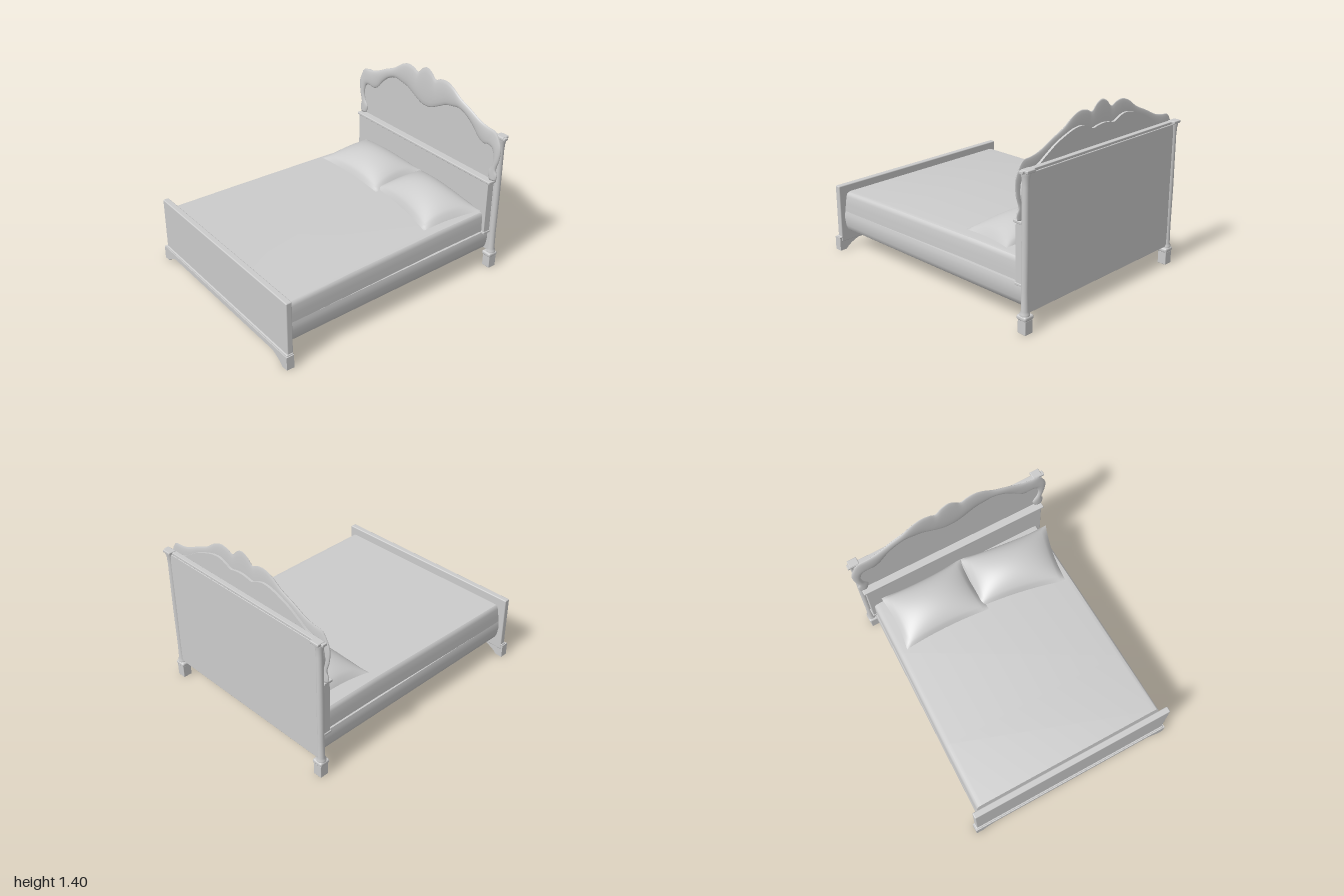
import * as THREE from 'three';
import { mergeGeometries, toCreasedNormals } from 'three/addons/utils/BufferGeometryUtils.js';
import { RoundedBoxGeometry } from 'three/addons/geometries/RoundedBoxGeometry.js';

const mat = new THREE.MeshStandardMaterial({ color: 0xcccccc, roughness: 0.8, side: THREE.DoubleSide });

// Skin between closed rings of [x, y, z] points, with capped ends
function loft(rings, crease) {
  const n = rings[0].length, pos = rings.flat(2), idx = [];
  for (let i = 0; i < rings.length - 1; i++)
    for (let j = 0; j < n; j++) {
      const a = i * n + j, b = i * n + (j + 1) % n;
      idx.push(a, b, a + n, b, b + n, a + n);
    }
  [0, rings.length - 1].forEach((r, end) => {
    const c = pos.length / 3;
    for (let k = 0; k < 3; k++) pos.push(rings[r].reduce((s, p) => s + p[k], 0) / n);
    for (let j = 0; j < n; j++) {
      const a = r * n + j, b = r * n + (j + 1) % n;
      idx.push(c, ...(end ? [a, b] : [b, a]));
    }
  });
  const g = new THREE.BufferGeometry();
  g.setAttribute('position', new THREE.Float32BufferAttribute(pos, 3));
  g.setIndex(idx);
  g.computeVertexNormals();
  return crease ? toCreasedNormals(g, crease) : g;
}

// Soft pillow over four corners [x, z]: back left, back right, front right, front left
function pillowGeometry([bl, br, fr, fl], height) {
  const sheet = (side) => {
    const g = new THREE.PlaneGeometry(2, 2, 28, 28), p = g.attributes.position;
    for (let i = 0; i < p.count; i++) {
      const u0 = p.getX(i) * side, v0 = p.getY(i);
      const u = u0 * (1 - 0.06 * (1 - v0 * v0)), v = v0 * (1 - 0.09 * (1 - u0 * u0));
      const mix = (k) => ((1 - u) * (1 + v) * bl[k] + (1 + u) * (1 + v) * br[k]
        + (1 + u) * (1 - v) * fr[k] + (1 - u) * (1 - v) * fl[k]) / 4;
      const puff = Math.pow(Math.max(0, (1 - u0 * u0) * (1 - v0 * v0)), 0.6);
      p.setXYZ(i, mix(0), 0.53 + 0.02 * v0 + puff * (side > 0 ? height : -0.04), mix(1));
    }
    g.computeVertexNormals();
    return g;
  };
  return mergeGeometries([sheet(1), sheet(-1)]);
}

export function createModel() {
  const model = new THREE.Group();
  const add = (name, geometry, x = 0, y = 0, z = 0) => {
    const m = new THREE.Mesh(geometry, mat);
    m.name = name;
    m.position.set(x, y, z);
    model.add(m);
    return m;
  };
  // Box given by half width, y range and z range
  const slab = (name, hx, y0, y1, z0, z1, r = 0.004) =>
    add(name, new RoundedBoxGeometry(2 * hx, y1 - y0, z1 - z0, 3, r), 0, (y0 + y1) / 2, (z0 + z1) / 2);

  // Bed base and mattress, both narrowing towards the head
  const section = (half, z, k, dy = 0) => {
    const right = half.map(([x, y]) => [x * k, y + dy, z]);
    return [...right, ...right.map(([x, y]) => [-x, y, z]).reverse()];
  };
  const base = [[0.745, 0.15], [0.765, 0.165], [0.778, 0.2], [0.786, 0.25], [0.786, 0.29], [0.78, 0.318]];
  add('bedBase', loft([section(base, -0.925, 0.945), section(base, 0.94, 1)], 0.6));
  const mattress = [[0.78, 0.316], [0.779, 0.38], [0.776, 0.44], [0.77, 0.462], [0.758, 0.473], [0.73, 0.477]];
  const lean = (z, slope) => section(mattress, z, 1).map(([x, y]) => [x, y, z - slope * (y - 0.316)]);
  add('mattress', loft([section(mattress, -0.87, 0.94, 0.012), section(mattress, -0.4, 0.955, 0.015),
    section(mattress, 0.4, 0.985, 0.006), lean(0.935, 0.16)], 0.6));

  // Pillows
  add('leftPillow', pillowGeometry([[0.03, -0.87], [0.77, -0.8], [0.68, -0.32], [-0.02, -0.45]], 0.135));
  add('rightPillow', pillowGeometry([[-0.66, -0.87], [0.03, -0.87], [0.04, -0.4], [-0.67, -0.41]], 0.12));

  // Footboard with a bracket-footed plinth
  slab('footboard', 0.825, 0.072, 0.525, 0.935, 0.982, 0.008);
  const plinth = new THREE.Shape();
  plinth.moveTo(-0.84, 0);
  plinth.lineTo(-0.785, 0);
  plinth.bezierCurveTo(-0.76, 0.03, -0.72, 0.05, -0.67, 0.068);
  plinth.lineTo(0.67, 0.068);
  plinth.bezierCurveTo(0.72, 0.05, 0.76, 0.03, 0.785, 0);
  plinth.lineTo(0.84, 0);
  plinth.lineTo(0.84, 0.105);
  plinth.lineTo(-0.84, 0.105);
  add('footPlinth', new THREE.ExtrudeGeometry(plinth, { depth: 0.06, bevelEnabled: false }), 0, 0, 0.94);
  slab('plinthMoulding', 0.832, 0.098, 0.116, 0.937, 0.992, 0.008);

  // Headboard panels and mouldings
  slab('headboardPanel', 0.765, 0.14, 1.09, -0.972, -0.935);
  slab('headboardTopRail', 0.81, 1.092, 1.112, -0.972, -0.935);
  slab('lowerPanel', 0.758, 0.315, 0.75, -0.925, -0.865);
  slab('lowerPanelMoulding', 0.764, 0.312, 0.33, -0.925, -0.86);
  slab('ledge', 0.775, 0.745, 0.766, -0.93, -0.857, 0.006);

  // Headboard posts with square feet and caps
  const postProfile = [[0.034, 0.13], [0.034, 0.145], [0.026, 0.16], [0.024, 0.3], [0.026, 0.6], [0.024, 1.0],
    [0.027, 1.06], [0.032, 1.08], [0.032, 1.095]].map(([x, y]) => new THREE.Vector2(x, y));
  for (const s of [-1, 1]) {
    const side = s > 0 ? 'left' : 'right';
    add(side + 'Post', new THREE.LatheGeometry(postProfile, 20), s * 0.765, 0, -0.958);
    add(side + 'PostFoot', new RoundedBoxGeometry(0.07, 0.1, 0.07, 2, 0.004), s * 0.757, 0.05, -0.955);
    add(side + 'PostCollar', new RoundedBoxGeometry(0.085, 0.035, 0.084, 3, 0.014), s * 0.757, 0.114, -0.953);
    add(side + 'PostCap', new RoundedBoxGeometry(0.075, 0.022, 0.06, 2, 0.006), s * 0.755, 1.106, -0.968);
  }

  // Carved crest: outer and inner edge points [xo, yo, xi, yi], from the centre outwards
  const half = [[0, 1.405, 0, 1.088], [0.05, 1.385, 0.06, 1.097], [0.1, 1.34, 0.12, 1.125],
    [0.15, 1.36, 0.165, 1.148], [0.215, 1.368, 0.22, 1.175], [0.285, 1.344, 0.29, 1.19],
    [0.373, 1.285, 0.364, 1.2], [0.485, 1.236, 0.44, 1.173], [0.6, 1.182, 0.515, 1.115],
    [0.675, 1.165, 0.58, 1.045], [0.745, 1.155, 0.63, 1.02], [0.786, 1.1, 0.675, 1.03],
    [0.809, 1.034, 0.72, 1.02], [0.8, 0.935, 0.748, 0.955], [0.778, 0.854, 0.74, 0.89],
    [0.795, 0.81, 0.704, 0.82], [0.786, 0.77, 0.72, 0.764]];
  const edges = [...half.slice(1).reverse().map(([a, b, c, d]) => [-a, b, -c, d]), ...half];
  const spline = (k) => new THREE.CatmullRomCurve3(edges.map((e) => new THREE.Vector3(e[k], e[k + 1], 0)));
  const outer = spline(0), inner = spline(2), rings = [], middle = [];
  const steps = (edges.length - 1) * 4;
  for (let i = 0; i <= steps; i++) {
    const o = outer.getPoint(i / steps), q = inner.getPoint(i / steps);
    const m = o.clone().add(q).multiplyScalar(0.5), h = o.clone().sub(m);
    middle.push(new THREE.Vector2(m.x, m.y));
    rings.push(Array.from({ length: 16 }, (_, j) => {
      const a = j / 16 * Math.PI * 2, c = Math.cos(a), s = Math.sin(a);
      return [m.x + h.x * c, m.y + h.y * c, -0.911 + s * (s > 0 ? 0.016 : 0.008)];
    }));
  }
  add('carvedCrest', loft(rings));

  // Arched panel filling the crest
  const arch = new THREE.Shape([...middle, new THREE.Vector2(0.75, 0.75), new THREE.Vector2(-0.75, 0.75)]);
  add('archedPanel', new THREE.ExtrudeGeometry(arch, { depth: 0.022, bevelEnabled: false }), 0, 0, -0.936);
  return model;
}
